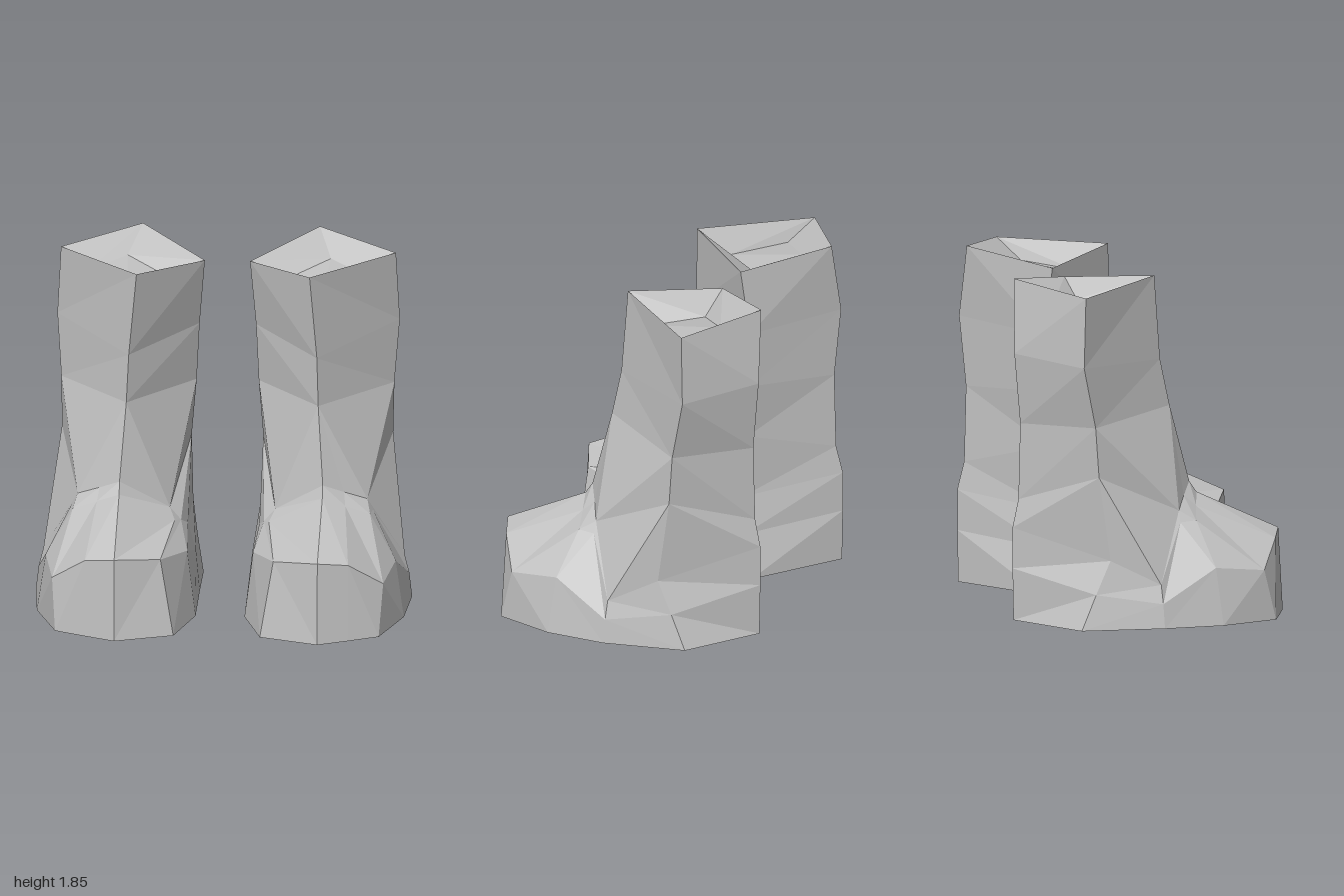
import * as THREE from 'three';

// Foot loops run: back heel, outer heel, outer side (2), outer toe (2), toe centre, inner toe, inner side (2), inner heel
const FOOT = [
  [[.55, .02, -.74], [.9, .01, -.46], [1, .02, -.03], [.975, .015, .3], [.86, .01, .62], [.7, .005, .685],
    [.54, 0, .745], [.23, .005, .65], [.13, .01, .33], [.13, .02, -.05], [.13, .01, -.4]],
  [[.55, .3, -.745], [.895, .2, -.38], [.985, .15, -.035], [.93, .32, .27], [.88, .285, .55], [.7, .42, .66],
    [.54, .445, .72], [.3, .42, .62], [.175, .37, .32], [.15, .25, -.05], [.16, .25, -.35]],
  [[.55, .52, -.745], [.89, .38, -.3], [.96, .25, -.04], [.8, .55, .11], [.79, .555, .2], [.66, .61, .235],
    [.54, .66, .27], [.25, .49, .17], [.22, .47, .1], [.19, .42, 0], [.18, .45, -.32]],
  [[.54, .67, -.71], [.88, .83, -.36], [.88, .83, -.36], [.77, .61, .11], [.77, .61, .11], [.65, .665, .17],
    [.54, .72, .23], [.28, .54, .1], [.28, .54, .1], [.19, .8, -.35], [.19, .8, -.35]],
];

// Shaft loops run: back, outer, front, inner
const SHAFT = [
  [[.54, 1.08, -.7], [.885, 1.1, -.38], [.51, 1.13, .13], [.165, 1.1, -.37]],
  [[.55, 1.46, -.735], [.91, 1.43, -.45], [.5, 1.38, .08], [.15, 1.41, -.38]],
  [[.47, 1.85, -.715], [.89, 1.805, -.435], [.46, 1.825, .06], [.12, 1.775, -.34]],
];
const FLOOR = [[.54, 1.74, -.51], [.75, 1.7, -.34], [.52, 1.68, -.11], [.33, 1.69, -.33]];

// Spread a four-corner shaft loop over the eleven foot points
const spread = (l) => [0, 1, 1, 1, 2, 2, 2, 2, 3, 3, 3].map((k) => l[k]);

// Collects triangles; side = -1 mirrors them to the other foot
function surface(side, build) {
  const pos = [];
  const same = (p, q) => p.every((v, k) => v === q[k]);
  const tri = (a, b, c) => {
    if (same(a, b) || same(b, c) || same(a, c)) return;
    for (const p of side > 0 ? [a, b, c] : [a, c, b]) pos.push(p[0] * side, p[1], p[2]);
  };
  const loft = (loops) => {
    for (let j = 0; j + 1 < loops.length; j++) {
      const lo = loops[j], up = loops[j + 1], n = lo.length;
      for (let i = 0; i < n; i++) {
        const k = (i + 1) % n;
        tri(lo[i], up[i], up[k]);
        tri(lo[i], up[k], lo[k]);
      }
    }
  };
  const cap = (l, upward) => {
    for (let i = 1; i + 1 < l.length; i++) {
      if (upward) tri(l[0], l[i + 1], l[i]);
      else tri(l[0], l[i], l[i + 1]);
    }
  };
  build(loft, cap);
  const g = new THREE.BufferGeometry();
  g.setAttribute('position', new THREE.Float32BufferAttribute(pos, 3));
  g.computeVertexNormals();
  return g;
}

export function createModel() {
  const grey = new THREE.MeshStandardMaterial({ color: 0xc0c0c0, flatShading: true });
  grey.name = 'grey';
  const model = new THREE.Group();
  model.name = 'boots';

  for (const side of [1, -1]) {
    const boot = new THREE.Group();
    boot.name = side > 0 ? 'leftBoot' : 'rightBoot';
    const add = (name, build) => {
      const m = new THREE.Mesh(surface(side, build), grey);
      m.name = name;
      boot.add(m);
    };
    add('sole', (loft, cap) => cap(FOOT[0], false));
    // Heel, rounded toe cap and the raised lip behind it
    add('foot', (loft) => loft(FOOT));
    add('ankle', (loft) => loft([FOOT[3], spread(SHAFT[0])]));
    add('shaft', (loft) => loft(SHAFT));
    // Shallow recess in the top of the shaft
    add('opening', (loft, cap) => {
      loft([SHAFT[2], FLOOR]);
      cap(FLOOR, true);
    });
    model.add(boot);
  }
  return model;
}
